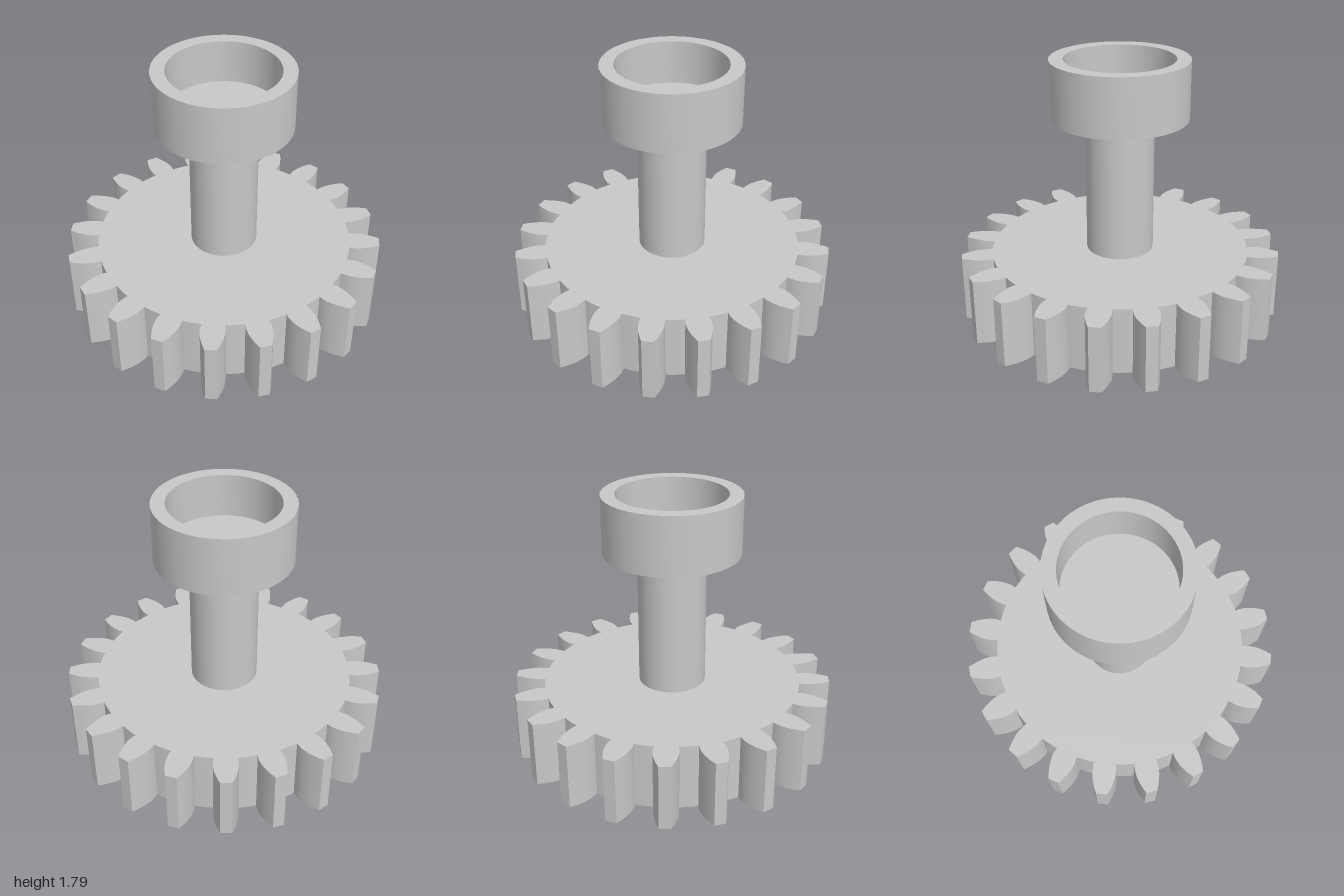
import * as THREE from 'three';
import { toCreasedNormals } from 'three/addons/utils/BufferGeometryUtils.js';

const steel = new THREE.MeshStandardMaterial({ color: 0xc8c8c8 });
steel.name = 'steel grey';

// Surface of revolution with crisp edges; the profile runs from bottom to top on the outside
function turned(name, profile) {
  const points = profile.map(([r, y]) => new THREE.Vector2(r, y));
  const mesh = new THREE.Mesh(toCreasedNormals(new THREE.LatheGeometry(points, 96), 0.5), steel);
  mesh.name = name;
  return mesh;
}

// Spur gear outline: bulged flanks, flat tips and arcs at the root
function gearShape(teeth, rootRadius) {
  // distance from the axis and half width along one flank, root to tip
  const flank = [[0.806, 0.069], [0.835, 0.074], [0.865, 0.0745], [0.9, 0.07], [0.935, 0.061], [0.968, 0.049], [1, 0.035]];
  const outline = [
    ...flank.map(([r, w]) => [r, -w]),
    ...[...flank].reverse(),
  ];
  const pitch = (Math.PI * 2) / teeth;
  const rootAngle = Math.atan2(flank[0][1], flank[0][0]);
  const points = [];
  for (let i = 0; i < teeth; i++) {
    const a = i * pitch;
    for (const [r, w] of outline) {
      points.push(new THREE.Vector2(r, w).rotateAround(new THREE.Vector2(), a));
    }
    // root arc to the next tooth
    for (let k = 1; k < 4; k++) {
      const b = a + rootAngle + ((pitch - 2 * rootAngle) * k) / 4;
      points.push(new THREE.Vector2(Math.cos(b) * rootRadius, Math.sin(b) * rootRadius));
    }
  }
  return new THREE.Shape(points);
}

export function createModel() {
  const model = new THREE.Group();
  model.name = 'gearShaft';

  // Toothed wheel
  const wheel = new THREE.ExtrudeGeometry(gearShape(20, 0.809), { depth: 0.42, bevelEnabled: false });
  wheel.rotateX(-Math.PI / 2);
  wheel.translate(0, 0.16, 0);
  const gear = new THREE.Mesh(toCreasedNormals(wheel, 0.5), steel);
  gear.name = 'gearWheel';
  model.add(gear);

  // Shaft through the wheel
  model.add(turned('shaft', [[0, 0], [0.21, 0], [0.21, 1.45], [0, 1.45]]));

  // Hollow cup on top of the shaft
  model.add(turned('cupHead', [
    [0, 1.435], [0.42, 1.435], [0.42, 1.795], [0.335, 1.795], [0.335, 1.525], [0, 1.525],
  ]));

  return model;
}
